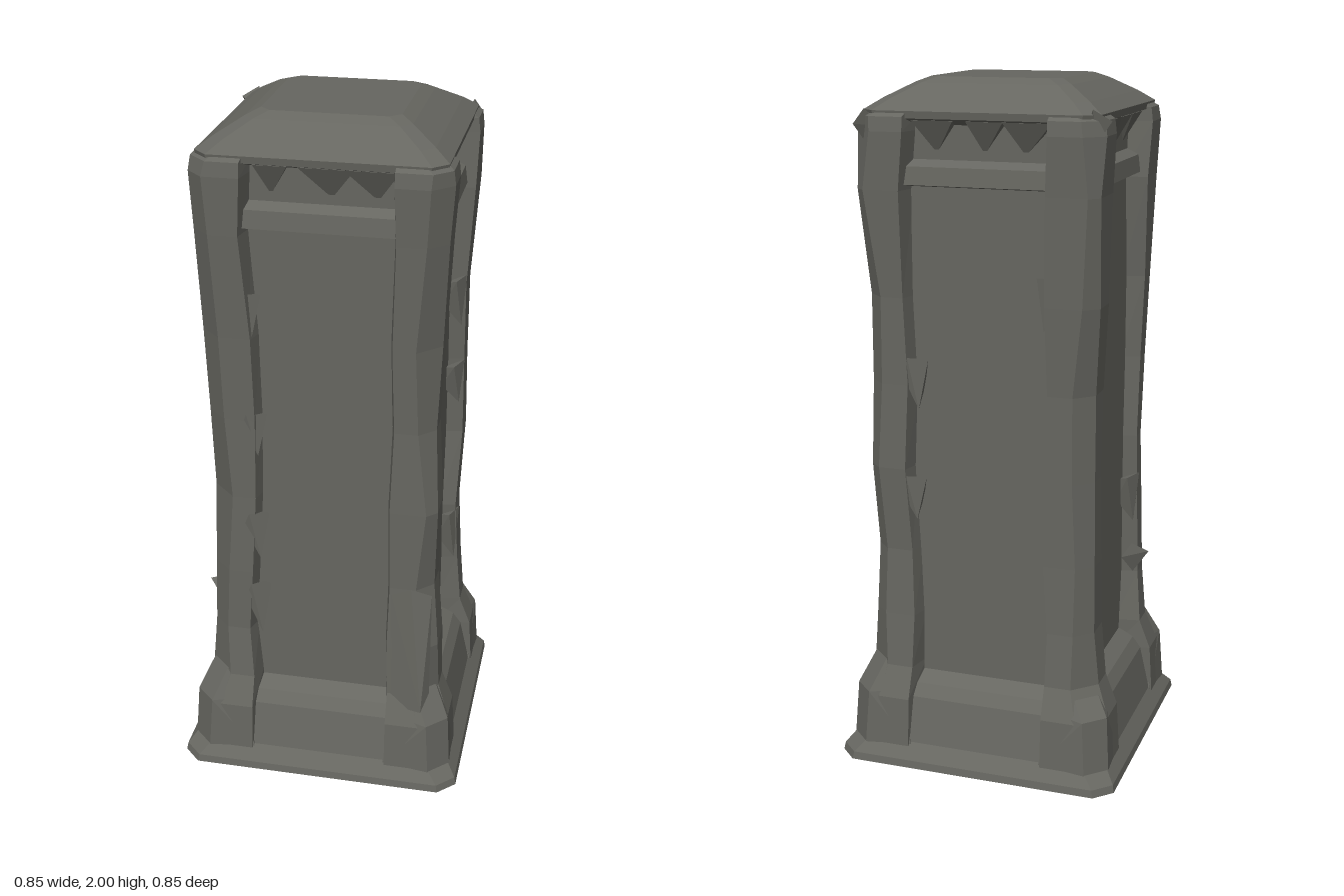
import * as THREE from 'three';
import { ConvexGeometry } from 'three/addons/geometries/ConvexGeometry.js';

const stone = new THREE.MeshStandardMaterial({ color: 0x666660, flatShading: true });
stone.name = 'weathered stone';

// small seeded noise in -1..1
let seed = 11;
const noise = () => {
  seed = (seed * 16807) % 2147483647;
  return (seed / 2147483647) * 2 - 1;
};

// closed solid from rings of [x, y, z], counter-clockwise seen from above, bottom to top
function loft(rings) {
  const n = rings[0].length, index = [];
  for (let r = 0; r < rings.length - 1; r++) {
    for (let i = 0; i < n; i++) {
      const j = (i + 1) % n;
      const a = r * n + i, b = r * n + j, c = b + n, d = a + n;
      index.push(a, b, c, a, c, d);
    }
  }
  const top = (rings.length - 1) * n;
  for (let i = 1; i < n - 1; i++) {
    index.push(0, i + 1, i, top, top + i, top + i + 1);
  }
  const g = new THREE.BufferGeometry();
  g.setAttribute('position', new THREE.Float32BufferAttribute(rings.flat(2), 3));
  g.setIndex(index);
  const flat = g.toNonIndexed();
  flat.computeVertexNormals();
  return flat;
}

// square of half width w with corners cut by c
function cutSquare(y, w, c) {
  const k = w - c;
  return [[-k, w], [k, w], [w, k], [w, -k], [k, -w], [-k, -w], [-w, -k], [-w, k]].map(([x, z]) => [x, y, z]);
}

// one corner post at +x +z: [height, reach, corner cut], with worn edges
const postProfile = [
  [0.04, 0.395, 0.06], [0.2, 0.385, 0.08], [0.29, 0.35, 0.07], [0.45, 0.34, 0.05],
  [0.65, 0.33, 0.045], [0.9, 0.33, 0.05], [1.15, 0.332, 0.05], [1.4, 0.335, 0.045],
  [1.7, 0.345, 0.04], [1.86, 0.355, 0.05], [1.9, 0.35, 0.05], [1.945, 0.285, 0.05],
];
function postGeometry(wear) {
  const rings = postProfile.map(([y, reach, cut], i) => {
    const shaft = i > 2 && i < 9 ? 1 : 0;
    const o = reach + noise() * 0.006 * shaft;
    const c = cut + noise() * 0.015 * (shaft + 0.4);
    const e1 = 0.205 + noise() * wear * shaft, e2 = 0.205 + noise() * wear * shaft;
    const p1 = e1 - 0.015, p2 = e2 - 0.015;
    const ox = o + noise() * 0.005 * shaft;
    return [[p1, 0.2], [p1, 0.27], [e1, o], [ox - c, o], [ox, o - c], [ox, e2], [0.27, p2], [0.2, p2]]
      .map(([x, z]) => [x, y, z]);
  });
  return loft(rings);
}

export function createModel() {
  const model = new THREE.Group();
  model.name = 'stonePillar';
  const add = (name, geometry, turn = 0) => {
    const mesh = new THREE.Mesh(geometry, stone);
    mesh.name = name;
    mesh.rotation.y = turn * Math.PI / 2;
    model.add(mesh);
    return mesh;
  };

  // recessed panels on all four sides
  const core = new THREE.BoxGeometry(0.57, 1.7, 0.57);
  core.translate(0, 1.05, 0);
  add('recessedPanels', core);

  // foot lip, sloping skirt and ledge
  add('base', loft([
    cutSquare(0, 0.424, 0.05), cutSquare(0.022, 0.42, 0.05), cutSquare(0.065, 0.385, 0.055),
    cutSquare(0.2, 0.355, 0.06), cutSquare(0.235, 0.33, 0.06), cutSquare(0.265, 0.28, 0.05),
  ]));

  // band above the panels
  add('lintelBand', loft([
    cutSquare(1.705, 0.27, 0.03), cutSquare(1.715, 0.325, 0.04),
    cutSquare(1.765, 0.318, 0.04), cutSquare(1.79, 0.27, 0.03),
  ]));

  // sloping cap
  add('cap', loft([
    cutSquare(1.875, 0.28, 0.03), cutSquare(1.895, 0.335, 0.04), cutSquare(1.915, 0.338, 0.04),
    cutSquare(1.945, 0.295, 0.035), cutSquare(1.985, 0.225, 0.03), cutSquare(2, 0.19, 0.03),
  ]));

  // worn corner posts
  const posts = ['frontLeftPost', 'backLeftPost', 'backRightPost', 'frontRightPost'];
  const wear = [0.006, 0.016, 0.014, 0.02];
  posts.forEach((name, k) => add(name, postGeometry(wear[k]), k));

  // faceted feet swelling around the bottom of each post
  for (let k = 0; k < 4; k++) {
    const h = 0.29 + noise() * 0.02;
    add('cornerFoot', new ConvexGeometry([
      [0.2, 0.06, 0.39], [0.34, 0.05, 0.398], [0.398, 0.05, 0.34], [0.39, 0.06, 0.2],
      [0.23, 0.22, 0.365], [0.33, 0.21, 0.388], [0.388, 0.21, 0.33], [0.365, 0.22, 0.23],
      [0.29, h, 0.345], [0.345, h, 0.29], [0.2, 0.06, 0.2], [0.25, h, 0.25],
    ].map(p => new THREE.Vector3(...p))), k);
  }

  // splinters along the panel edges: [side, across, height, length]; sides run front, left, back, right
  const chips = [
    [0, -0.18, 1.14, 0.1], [0, -0.18, 0.82, 0.12], [0, -0.18, 0.58, 0.14], [0, -0.19, 1.5, 0.1],
    [1, 0.17, 1.4, 0.12], [1, 0.18, 1.12, 0.1], [1, 0.19, 0.6, 0.14],
    [2, -0.18, 1.2, 0.12], [2, -0.19, 0.85, 0.1], [2, 0.19, 1.45, 0.12],
    [3, -0.18, 1.3, 0.1], [3, 0.19, 0.75, 0.12],
  ];
  for (const [side, x, y, len] of chips) {
    const s = Math.sign(x);
    add('edgeChip', new ConvexGeometry([
      [x + s * 0.03, y + 0.03, 0.334], [x - s * 0.025, y + 0.025, 0.31], [x, y - len, 0.325],
      [x + s * 0.05, y - 0.02, 0.325], [x, y - len * 0.5, 0.27], [x, y + 0.01, 0.27],
    ].map(p => new THREE.Vector3(...p))), side);
  }

  // raised broken slab low on the front left post
  add('postSlab', new ConvexGeometry([
    [0.21, 0.63, 0.335], [0.27, 0.66, 0.345], [0.33, 0.64, 0.335], [0.21, 0.25, 0.35],
    [0.31, 0.25, 0.375], [0.33, 0.3, 0.34], [0.25, 0.62, 0.3], [0.25, 0.25, 0.3],
  ].map(p => new THREE.Vector3(...p))));

  // rubble facets inside the slots under the cap
  for (let k = 0; k < 4; k++) {
    for (const x of [-0.13, 0.02, 0.14]) {
      const w = 0.06 + noise() * 0.015;
      add('slotFacet', new ConvexGeometry([
        [x - w, 1.89, 0.325], [x + w, 1.89, 0.325], [x + noise() * 0.02, 1.8, 0.28],
        [x - w, 1.89, 0.26], [x + w, 1.89, 0.26],
      ].map(p => new THREE.Vector3(...p))), k);
    }
  }

  // splinters standing out from the outline: tip and root
  const spikes = [
    [[-0.375, 0.53, 0.2], [-0.32, 0.5, 0.22]],
    [[-0.37, 1.9, -0.31], [-0.32, 1.88, -0.3]],
    [[0.34, 1.88, -0.37], [0.32, 1.87, -0.32]],
  ];
  for (const [tip, [x, y, z]] of spikes) {
    add('splinter', new ConvexGeometry([
      tip, [x, y + 0.05, z - 0.02], [x, y - 0.05, z], [x, y, z + 0.04], [x * 0.9, y, z * 0.9],
    ].map(p => new THREE.Vector3(...p))));
  }
  return model;
}
